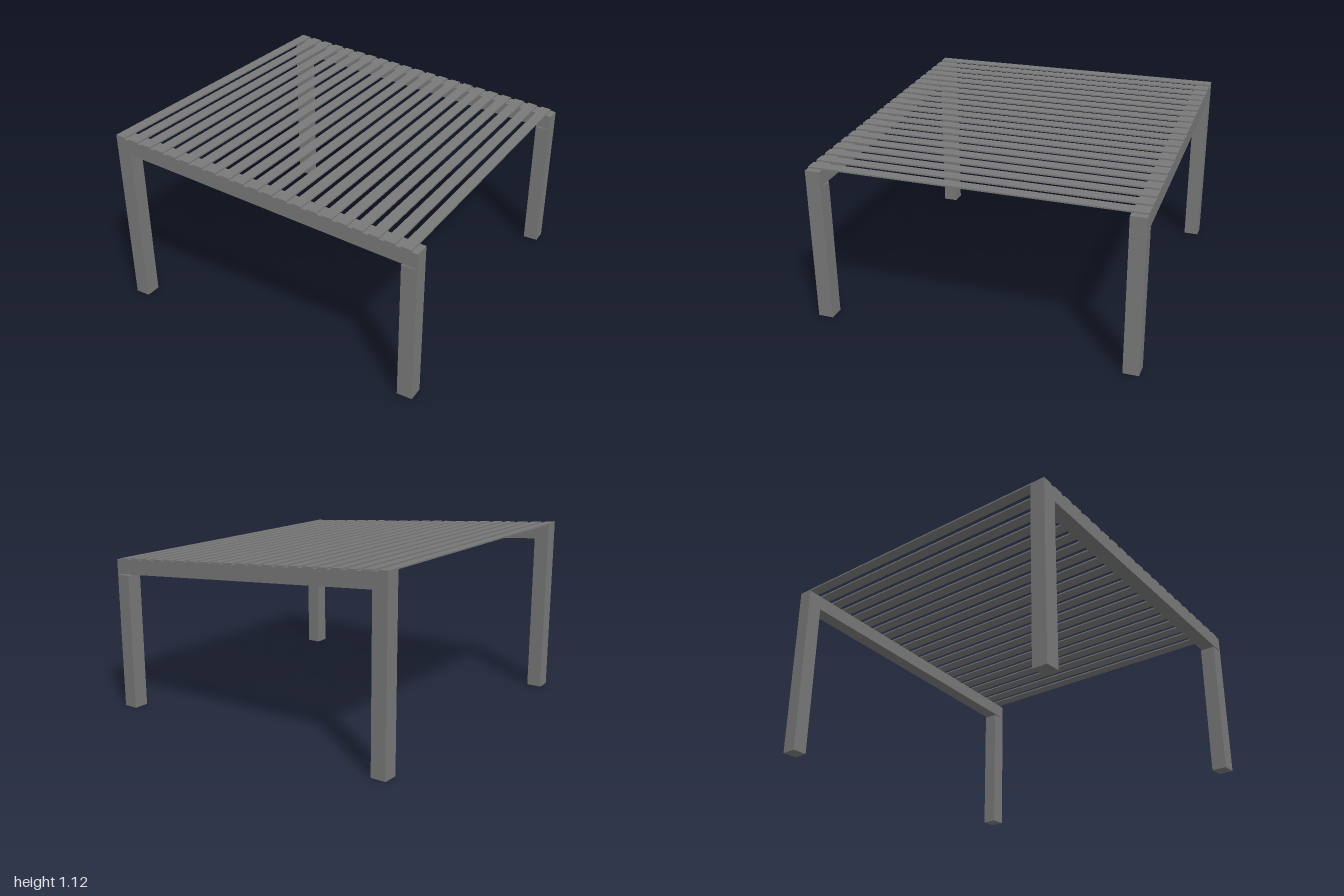
import * as THREE from 'three';

const SLOPE = -0.08;      // fall of the roof from -x to +x
const LEG = 0.094;        // leg and beam width
const SLATS = 21, PITCH = 0.095, SLAT_W = 0.064, SLAT_T = 0.009;

const roofY = (x) => 0.952 + SLOPE * (x - 1); // top of the beams

export function createModel() {
  const group = new THREE.Group();
  const grey = new THREE.MeshStandardMaterial({ color: 0x787878 });
  grey.name = 'grey paint';

  // Upright box given by its limits
  const box = (name, x0, x1, y0, y1, z0, z1) => {
    const geo = new THREE.BoxGeometry(x1 - x0, y1 - y0, z1 - z0);
    geo.translate((x0 + x1) / 2, (y0 + y1) / 2, (z0 + z1) / 2);
    const mesh = new THREE.Mesh(geo, grey);
    mesh.name = name;
    group.add(mesh);
    return mesh;
  };

  // Box with vertical ends that follows the roof slope
  const slopedBox = (name, x0, x1, low, high, z0, z1) => {
    const mesh = box(name, x0, x1, low, high, z0, z1);
    const pos = mesh.geometry.attributes.position;
    for (let i = 0; i < pos.count; i++) pos.setY(i, pos.getY(i) + roofY(pos.getX(i)));
    mesh.geometry.computeVertexNormals();
  };

  for (const [side, z0] of [['front', 1 - LEG], ['back', -1]]) {
    const z1 = z0 + LEG;
    // Tall legs run up into the beam, short legs stop just under it
    box(side + 'TallLeg', -1, -1 + LEG, 0, 1.02, z0, z1);
    box(side + 'ShortLeg', 1 - LEG, 1, 0, 0.859, z0, z1);
    slopedBox(side + 'Beam', -1, 1, -0.092, 0, z0, z1);
  }

  // Thin roof slats across both beams
  for (let i = 0; i < SLATS; i++) {
    const x = -1 + i * PITCH;
    slopedBox('slat' + (i + 1), x, x + SLAT_W, 0, SLAT_T, -1, 1);
  }
  return group;
}
